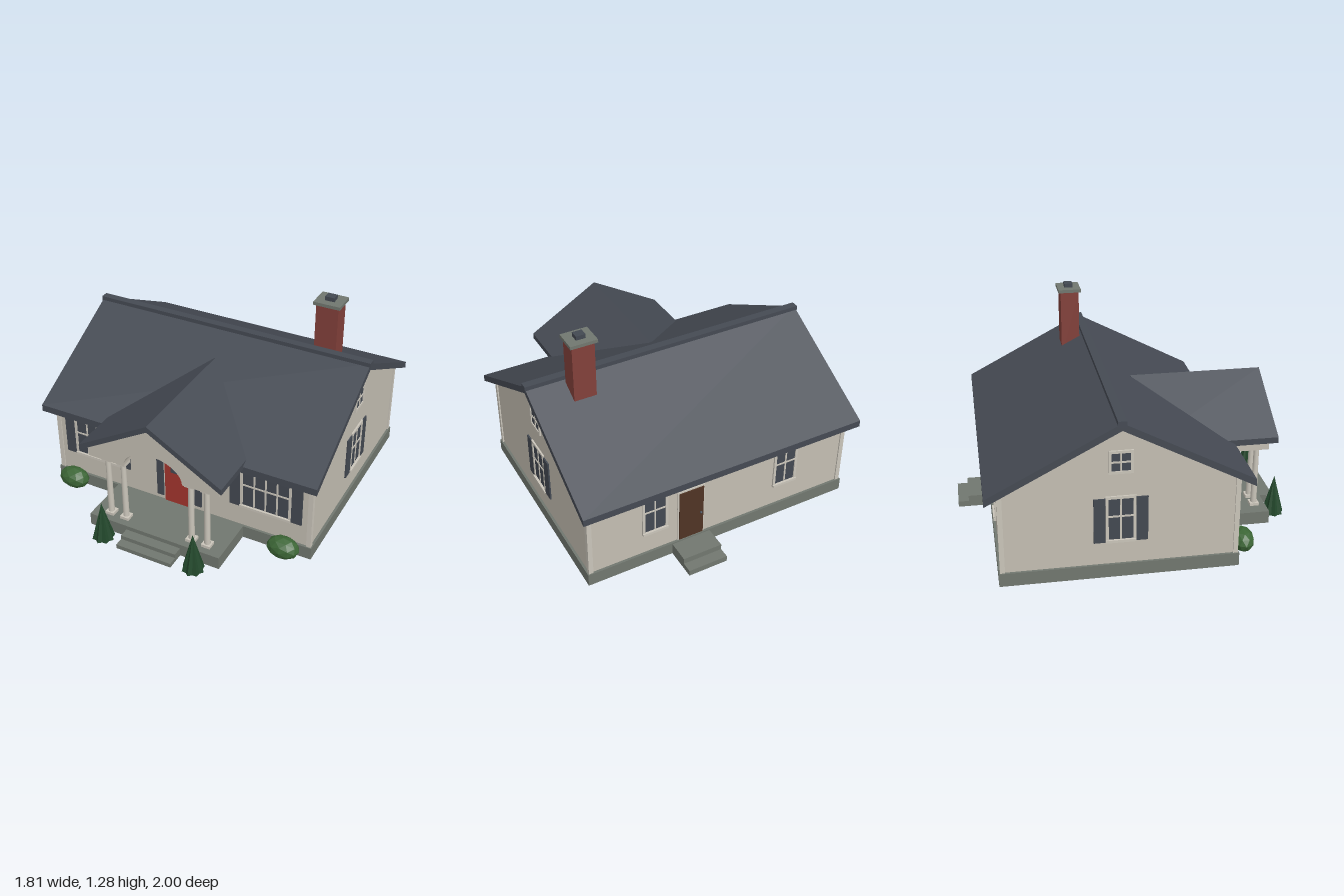
import * as THREE from 'three';

const mat = (name, color, extra = {}) => {
  const m = new THREE.MeshStandardMaterial({ color, ...extra });
  m.name = name;
  return m;
};

export function createModel() {
  const house = new THREE.Group();
  house.name = 'house';
  const wall = mat('wall cream', 0xc4beb2);
  const trim = mat('trim off-white', 0xcac5ba);
  const slate = mat('roof slate', 0x454a53);
  const dark = mat('glass and shutter grey', 0x434952);
  const stone = mat('stone grey', 0x71776f);
  const brick = mat('brick red', 0x82403a);
  const red = mat('door red', 0xa3352d);
  const wood = mat('back door brown', 0x4f3424);
  const leaf = mat('bush green', 0x3c6636, { flatShading: true });
  const pine = mat('shrub dark green', 0x23482c, { flatShading: true });

  const add = (name, geometry, material, parent = house) => {
    const m = new THREE.Mesh(geometry, material);
    m.name = name;
    parent.add(m);
    return m;
  };
  // box given by its limits on each axis
  const box = (name, material, x0, x1, y0, y1, z0, z1, parent) => {
    const m = add(name, new THREE.BoxGeometry(x1 - x0, y1 - y0, z1 - z0), material, parent);
    m.position.set((x0 + x1) / 2, (y0 + y1) / 2, (z0 + z1) / 2);
    return m;
  };
  const poly = pts => new THREE.Shape(pts.map(p => new THREE.Vector2(...p)));
  const extrude = (shape, depth, curveSegments = 10) =>
    new THREE.ExtrudeGeometry(shape, { depth, bevelEnabled: false, curveSegments });
  // profile across z (s = -z), extruded along x
  const alongX = (name, shape, halfLength, material) => {
    const m = add(name, extrude(shape, halfLength * 2), material);
    m.rotation.y = Math.PI / 2;
    m.position.x = -halfLength;
    return m;
  };

  // foundation, porch floor and steps
  box('foundation', stone, -0.862, 0.862, 0, 0.08, -0.8, 0.56);
  box('porchFloor', stone, -0.43, 0.43, 0, 0.08, 0.56, 0.87);
  box('frontStepUpper', stone, -0.18, 0.18, 0, 0.053, 0.87, 0.93);
  box('frontStepLower', stone, -0.18, 0.18, 0, 0.027, 0.87, 0.985);
  box('backStepUpper', stone, 0.08, 0.327, 0, 0.072, -0.935, -0.8);
  box('backStepLower', stone, 0.08, 0.327, 0, 0.036, -1, -0.8);

  // walls with both gables in one body
  alongX('walls', poly([[-0.545, 0.08], [0.785, 0.08], [0.785, 0.572], [0.12, 0.918], [-0.545, 0.572]]), 0.847, wall);
  for (const s of [-1, 1]) {
    for (const [z0, z1] of [[0.525, 0.553], [-0.793, -0.765]]) {
      const [a, b] = s > 0 ? [0.827, 0.855] : [-0.855, -0.827];
      box('cornerBoard', trim, a, b, 0.08, 0.56, z0, z1);
    }
  }

  // main roof
  alongX('mainRoof', poly([[-0.625, 0.524], [-0.625, 0.567], [0.12, 0.957], [0.862, 0.567],
    [0.862, 0.524], [0.12, 0.914]]), 0.9, slate);
  box('ridgeCap', slate, -0.905, 0.905, 0.935, 0.97, -0.145, -0.097);

  // chimney
  box('chimney', brick, 0.53, 0.667, 0.8, 1.234, -0.275, -0.16);
  box('chimneyCap', stone, 0.515, 0.68, 1.232, 1.252, -0.29, -0.147);
  box('chimneyFlue', dark, 0.568, 0.626, 1.25, 1.277, -0.246, -0.194);

  // porch roof running back into the main roof
  add('porchRoof', extrude(poly([[-0.455, 0.553], [0, 0.819], [0.455, 0.553], [0.455, 0.59],
    [0, 0.856], [-0.455, 0.59]]), 0.805), slate).position.z = 0.083;

  // arched pediment and side beams
  const pediment = new THREE.Shape();
  pediment.moveTo(0.19, 0.498);
  pediment.lineTo(0.42, 0.498);
  pediment.lineTo(0.42, 0.574);
  pediment.lineTo(0, 0.82);
  pediment.lineTo(-0.42, 0.574);
  pediment.lineTo(-0.42, 0.498);
  pediment.lineTo(-0.19, 0.498);
  pediment.absellipse(0, 0.498, 0.19, 0.13, Math.PI, 0, true, 0);
  add('pediment', extrude(pediment, 0.09), wall).position.z = 0.755;
  for (const s of [-1, 1]) {
    box('porchBeam', wall, s * 0.375 - 0.045, s * 0.375 + 0.045, 0.498, 0.574, 0.54, 0.756);
    // paired columns
    for (const x of [0.22, 0.322]) {
      const column = new THREE.Group();
      column.name = 'column';
      column.position.set(s * x, 0, 0.8);
      house.add(column);
      add('columnShaft', new THREE.CylinderGeometry(0.016, 0.019, 0.4, 16), trim, column).position.y = 0.288;
      box('columnBase', trim, -0.028, 0.028, 0.08, 0.098, -0.028, 0.028, column);
      box('columnCapital', trim, -0.028, 0.028, 0.477, 0.498, -0.028, 0.028, column);
    }
  }

  // group on a wall, with local +z facing outwards
  const onWall = (name, x, z, angle) => {
    const g = new THREE.Group();
    g.name = name;
    g.position.set(x, 0, z);
    g.rotation.y = angle;
    house.add(g);
    return g;
  };
  const windowAt = (name, x, z, angle, w, y0, y1, columns, shutters, sill = true) => {
    const g = onWall(name, x, z, angle);
    const h = w / 2, f = 0.016;
    box('glass', dark, -h, h, y0, y1, -0.01, 0.004, g);
    for (const s of [-1, 1]) {
      box('frameSide', trim, s * (h + f / 2) - f / 2, s * (h + f / 2) + f / 2, y0, y1, -0.01, 0.01, g);
      if (shutters) {
        const c = s * (h + f + 0.034);
        box('shutter', dark, c - 0.033, c + 0.033, 0.22, 0.492, -0.01, 0.009, g);
      }
    }
    box('frameTop', trim, -h - f, h + f, y1, y1 + f, -0.01, 0.01, g);
    box('frameBottom', trim, -h - f, h + f, y0 - f, y0, -0.01, sill ? 0.018 : 0.01, g);
    for (let i = 1; i < columns; i++) {
      const c = -h + (w * i) / columns;
      box('mullion', trim, c - 0.005, c + 0.005, y0, y1, 0, 0.008, g);
    }
    const mid = y0 + (y1 - y0) * (sill ? 0.57 : 0.5);
    box('crossBar', trim, -h, h, mid - 0.005, mid + 0.005, 0, 0.008, g);
  };
  for (const s of [-1, 1]) {
    windowAt('frontWindow', s * 0.565, 0.545, 0, 0.288, 0.235, 0.488, 4, true);
    windowAt('sideWindow', s * 0.847, -0.12, s * Math.PI / 2, 0.138, 0.235, 0.488, 2, true);
    windowAt('atticWindow', s * 0.847, -0.12, s * Math.PI / 2, 0.106, 0.656, 0.762, 2, false, false);
    windowAt('backWindow', s * 0.435, -0.785, Math.PI, 0.13, 0.235, 0.488, 2, false);
  }

  // doors
  const knob = new THREE.SphereGeometry(0.008, 10, 8);
  const front = onWall('frontDoor', 0, 0.545, 0);
  box('doorFrame', trim, -0.102, 0.102, 0.08, 0.442, -0.01, 0.006, front);
  box('doorPanel', red, -0.092, 0.092, 0.085, 0.432, -0.01, 0.013, front);
  box('doorWindow', dark, -0.05, 0.05, 0.308, 0.406, 0.01, 0.016, front);
  add('doorKnob', knob, dark, front).position.set(0.073, 0.245, 0.018);
  for (const s of [-1, 1]) {
    box('sidelight', dark, s * 0.128 - 0.022, s * 0.128 + 0.022, 0.11, 0.41, -0.01, 0.009, front);
  }
  const back = onWall('backDoor', 0.203, -0.785, Math.PI);
  box('doorFrame', trim, -0.088, 0.088, 0.08, 0.442, -0.01, 0.006, back);
  box('doorPanel', wood, -0.078, 0.078, 0.085, 0.432, -0.01, 0.013, back);
  add('doorKnob', knob, dark, back).position.set(0.06, 0.245, 0.018);

  // fluted conical shrub: every other base corner is pulled inwards
  const cone = new THREE.ConeGeometry(0.068, 0.25, 16, 1);
  const p = cone.attributes.position;
  for (let i = 0; i < p.count; i++) {
    const r = Math.hypot(p.getX(i), p.getZ(i));
    if (r < 0.01) continue;
    const k = Math.round(Math.atan2(p.getX(i), p.getZ(i)) / (Math.PI / 8));
    if (k % 2 !== 0) { p.setX(i, p.getX(i) * 0.8); p.setZ(i, p.getZ(i) * 0.8); }
  }
  // planting
  for (const s of [-1, 1]) {
    add('coneShrub', cone, pine).position.set(s * 0.3, 0.125, 0.933);
    const bush = add('bush', new THREE.IcosahedronGeometry(1, 1), leaf);
    bush.scale.set(0.1, 0.068, 0.068);
    bush.position.set(s * 0.712, 0.08, 0.618);
  }
  return house;
}
